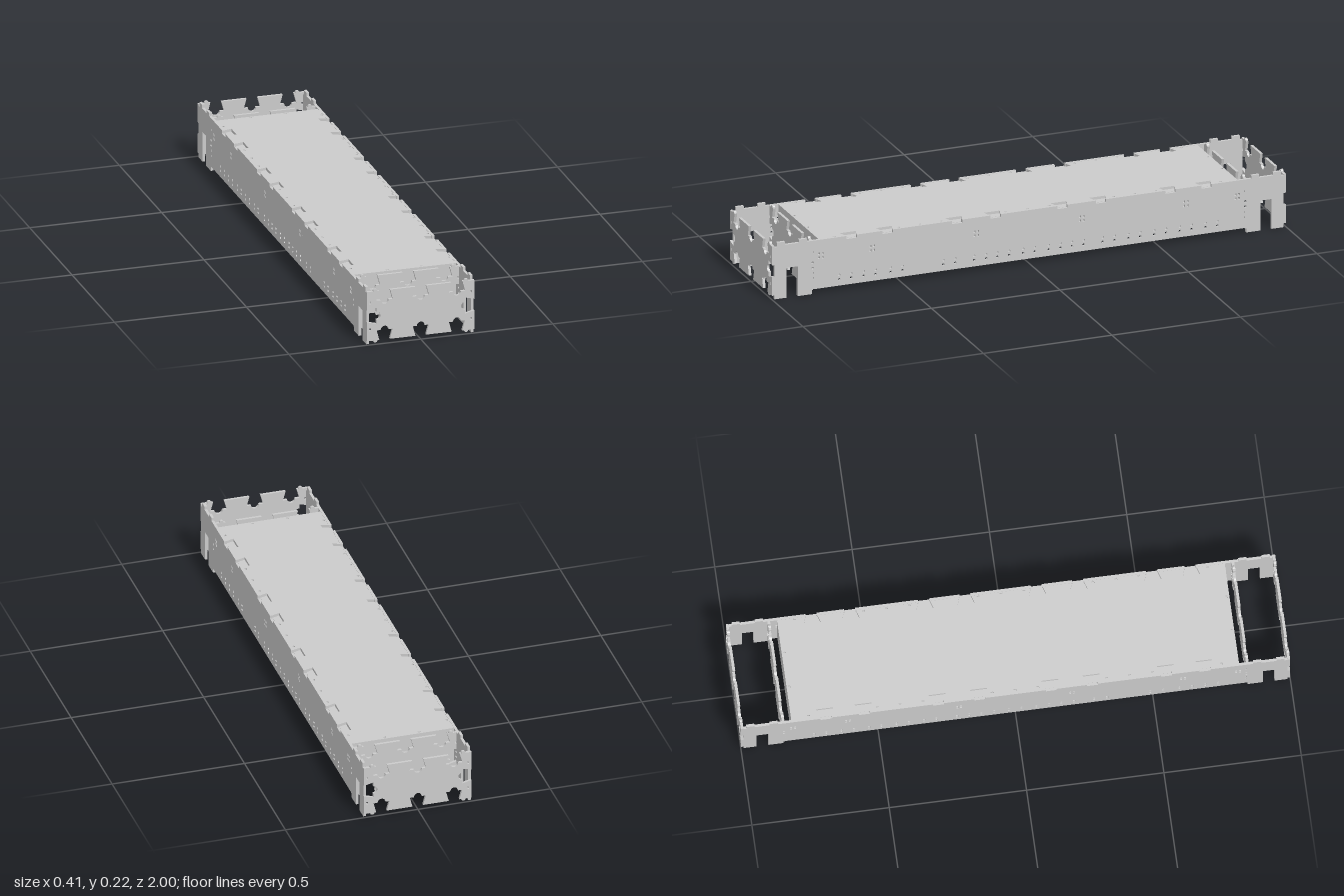
import * as THREE from 'three';

const material = new THREE.MeshStandardMaterial({ color: 0xcccccc, flatShading: true, side: THREE.DoubleSide });
const T = 0.01; // sheet thickness

// Dovetail notch with a round relief, cut into an edge of a counter-clockwise outline.
// (cx, cy) is the middle of the mouth, (tx, ty) the direction of travel.
function notch(cx, cy, tx, ty, mouth, root, depth, r) {
  const at = (along, inward) => new THREE.Vector2(cx + tx * along - ty * inward, cy + ty * along + tx * inward);
  const pts = [at(-mouth, 0), at(-root, depth)];
  if (r > 0) {
    for (let i = 0; i <= 10; i++) {
      const a = Math.PI * i / 10;
      pts.push(at(-Math.cos(a) * r, depth + Math.sin(a) * r));
    }
  }
  pts.push(at(root, depth), at(mouth, 0));
  return pts;
}

const bump = (cx, cy, tx, ty, r) => notch(cx, cy, tx, ty, r, r, 0, -1).slice(0, 1).concat(
  Array.from({ length: 9 }, (_, i) => {
    const a = Math.PI * i / 8;
    return new THREE.Vector2(
      cx - tx * Math.cos(a) * r + ty * Math.sin(a) * r,
      cy - ty * Math.cos(a) * r - tx * Math.sin(a) * r);
  }));

const p = (x, y) => new THREE.Vector2(x, y);

function rectHole(shape, x, y, w, h) {
  shape.holes.push(new THREE.Path([
    p(x - w / 2, y - h / 2), p(x - w / 2, y + h / 2), p(x + w / 2, y + h / 2), p(x + w / 2, y - h / 2)]));
}

function roundHole(shape, x, y, r) {
  const hole = new THREE.Path();
  hole.absarc(x, y, r, 0, Math.PI * 2, true);
  shape.holes.push(hole);
}

const extrude = (shape, depth) =>
  new THREE.ExtrudeGeometry(shape, { depth, bevelEnabled: false, curveSegments: 5 });

function part(name, geometry) {
  const mesh = new THREE.Mesh(geometry, material);
  mesh.name = name;
  return mesh;
}

// Cross panel with dovetail notches on all four edges
function endPanelGeometry() {
  const X = 0.203, B = 0.015, H = 0.205, c = 0.137;
  const bottom = [-c, 0, c].flatMap(x => notch(x, B, 1, 0, 0.02, 0.03, 0.038, 0.015));
  const top = [c, 0, -c].flatMap(x => notch(x, H, -1, 0, 0.021, 0.031, 0.037, 0.015));
  const shape = new THREE.Shape([
    p(-X, B), ...bump(-0.172, B, 1, 0, 0.008), ...bottom, ...bump(0.172, B, 1, 0, 0.008),
    p(X, B), ...notch(X, 0.11, 0, 1, 0.022, 0.031, 0.035, 0.015),
    p(X, H), ...bump(0.172, H, -1, 0, 0.008), ...top, ...bump(-0.172, H, -1, 0, 0.008),
    p(-X, H), ...notch(-X, 0.11, 0, -1, 0.022, 0.031, 0.035, 0.015)]);
  for (const s of [-1, 1]) for (const y of [0.058, 0.162]) rectHole(shape, s * 0.191, y, 0.006, 0.01);
  return extrude(shape, T);
}

const keyZ = [-0.69, -0.55, -0.28, -0.13, 0.13, 0.28, 0.55, 0.69];

// Long side panel, drawn as z across and y up
function sidePanelGeometry() {
  const E = 0.99, H = 0.205;
  const bottomHalf = [p(0.845, 0.018), p(0.845, 0), p(0.9, 0), p(0.9, 0.115), p(0.943, 0.115), p(0.943, 0), p(E, 0)];
  const topHalf = [p(E, 0.2), p(0.98, 0.2), p(0.98, 0.217), p(0.95, 0.217), p(0.95, H),
    p(0.895, H), p(0.895, 0.217), p(0.865, 0.217), p(0.865, H)];
  const flip = list => list.map(v => p(-v.x, v.y)).reverse();
  const slots = [...keyZ].reverse().flatMap(z => notch(z, H, -1, 0, 0.02, 0.02, 0.012, 0));
  const shape = new THREE.Shape([...flip(bottomHalf), ...bottomHalf, ...topHalf, ...slots, ...flip(topHalf)]);

  // rows of paired screw holes along the bottom
  for (const z of [0.715, 0.62, 0.515, 0.31, 0.19, 0.1, 0, -0.1, -0.19, -0.31, -0.41, -0.51, -0.61, -0.71])
    for (const dz of [-0.023, 0.023]) for (const y of [0.042, 0.059]) roundHole(shape, z + dz, y, 0.005);
  // hole columns beside the legs
  for (const s of [-1, 1]) for (const y of [0.06, 0.08, 0.1, 0.12, 0.16]) roundHole(shape, s * 0.842, y, 0.005);
  // clusters of four small slots
  for (const z of [-0.81, -0.61, -0.205, 0.205, 0.61, 0.81])
    for (const dz of [-0.007, 0.007]) for (const y of [0.136, 0.152]) rectHole(shape, z + dz, y, 0.007, 0.009);
  return extrude(shape, T);
}

// Top plate with key cut-outs along both long edges, drawn as x across and z up
function deckGeometry() {
  const X = 0.193, Z = 0.815;
  const right = keyZ.flatMap(z => notch(X, z, 0, 1, 0.022, 0.031, 0.028, 0));
  const left = [...keyZ].reverse().flatMap(z => notch(-X, z, 0, -1, 0.022, 0.031, 0.028, 0));
  const shape = new THREE.Shape([p(-X, -Z), p(X, -Z), ...right, p(X, Z), p(-X, Z), ...left]);
  for (const s of [-1, 1]) {
    for (let i = -9; i <= 9; i++) {
      const z = i * 0.0835;
      if (keyZ.every(k => Math.abs(k - z) > 0.042)) rectHole(shape, s * 0.186, z, 0.007, 0.01);
    }
    for (const x of [-0.065, 0.065]) rectHole(shape, x, s * 0.805, 0.01, 0.007);
  }
  const g = extrude(shape, T);
  g.rotateX(Math.PI / 2);
  return g;
}

export function createModel() {
  const model = new THREE.Group();
  model.name = 'panelBox';

  // Cross panels: an outer and an inner one at each end
  const panel = endPanelGeometry();
  for (const [name, z] of [['frontPanel', 0.99], ['frontInnerPanel', 0.84], ['backInnerPanel', -0.85], ['backPanel', -1]]) {
    const mesh = part(name, panel);
    mesh.position.z = z;
    model.add(mesh);
  }

  // Long sides
  const side = sidePanelGeometry();
  side.rotateY(-Math.PI / 2);
  for (const [name, x] of [['leftSide', 0.203], ['rightSide', -0.193]]) {
    const mesh = part(name, side);
    mesh.position.x = x;
    model.add(mesh);
  }

  // Deck plate and the closed body beneath it
  const deck = part('deck', deckGeometry());
  deck.position.y = 0.204;
  model.add(deck);

  const body = part('body', new THREE.BoxGeometry(0.386, 0.146, 1.63));
  body.position.y = 0.121;
  model.add(body);

  return model;
}
